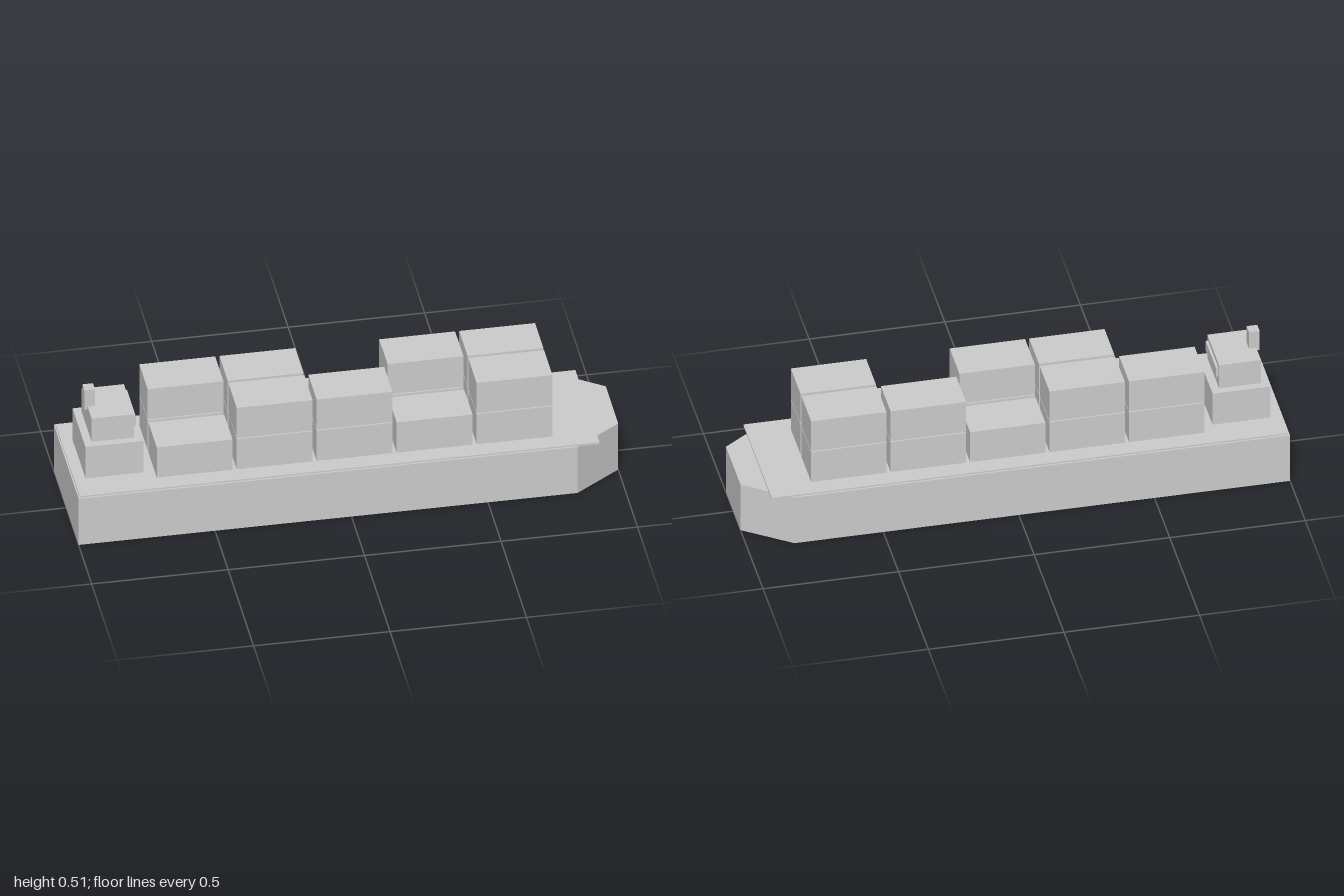
import * as THREE from 'three';

export function createModel() {
  const ship = new THREE.Group();
  ship.name = 'cargoShip';
  const grey = new THREE.MeshStandardMaterial({ color: 0xcccccc });
  grey.name = 'light grey';

  // Box given by its min and max along each axis
  function box(name, [x0, x1], [y0, y1], [z0, z1]) {
    const mesh = new THREE.Mesh(new THREE.BoxGeometry(x1 - x0, y1 - y0, z1 - z0), grey);
    mesh.position.set((x0 + x1) / 2, (y0 + y1) / 2, (z0 + z1) / 2);
    mesh.name = name;
    ship.add(mesh);
    return mesh;
  }

  // Hull: plan outline with a chamfered bow, extruded upward
  const outline = [[-1, -0.244], [0.828, -0.244], [1, -0.122], [1, 0.122], [0.828, 0.244], [-1, 0.244]];
  const plan = new THREE.Shape(outline.map(([x, z]) => new THREE.Vector2(x, z)));
  const hullGeometry = new THREE.ExtrudeGeometry(plan, { depth: 0.2, bevelEnabled: false });
  hullGeometry.rotateX(-Math.PI / 2);
  const hull = new THREE.Mesh(hullGeometry, grey);
  hull.name = 'hull';
  ship.add(hull);

  // Deck plate, its front corners overhanging the bow chamfers
  box('deck', [-0.995, 0.91], [0.198, 0.206], [-0.237, 0.237]);

  // Superstructure at the stern
  box('deckhouse', [-0.953, -0.74], [0.206, 0.342], [-0.127, 0.127]);
  box('bridge', [-0.925, -0.77], [0.342, 0.443], [-0.099, 0.099]);
  box('bridgeWindow', [-0.77, -0.761], [0.385, 0.426], [-0.086, 0.086]);
  box('funnel', [-0.937, -0.898], [0.432, 0.515], [-0.02, 0.02]);

  // Containers: stack heights from stern to bow on each side
  const rows = [
    { side: 1, heights: [1, 2, 2, 1, 2] },
    { side: -1, heights: [2, 2, 1, 2, 2] },
  ];
  for (const { side, heights } of rows) {
    heights.forEach((height, column) => {
      for (let level = 0; level < height; level++) {
        const x = -0.7 + column * 0.293;
        const y = 0.207 + level * 0.135;
        const z = side * 0.089;
        box('container', [x, x + 0.278], [y, y + 0.131], [z - 0.082, z + 0.082]);
      }
    });
  }

  return ship;
}
